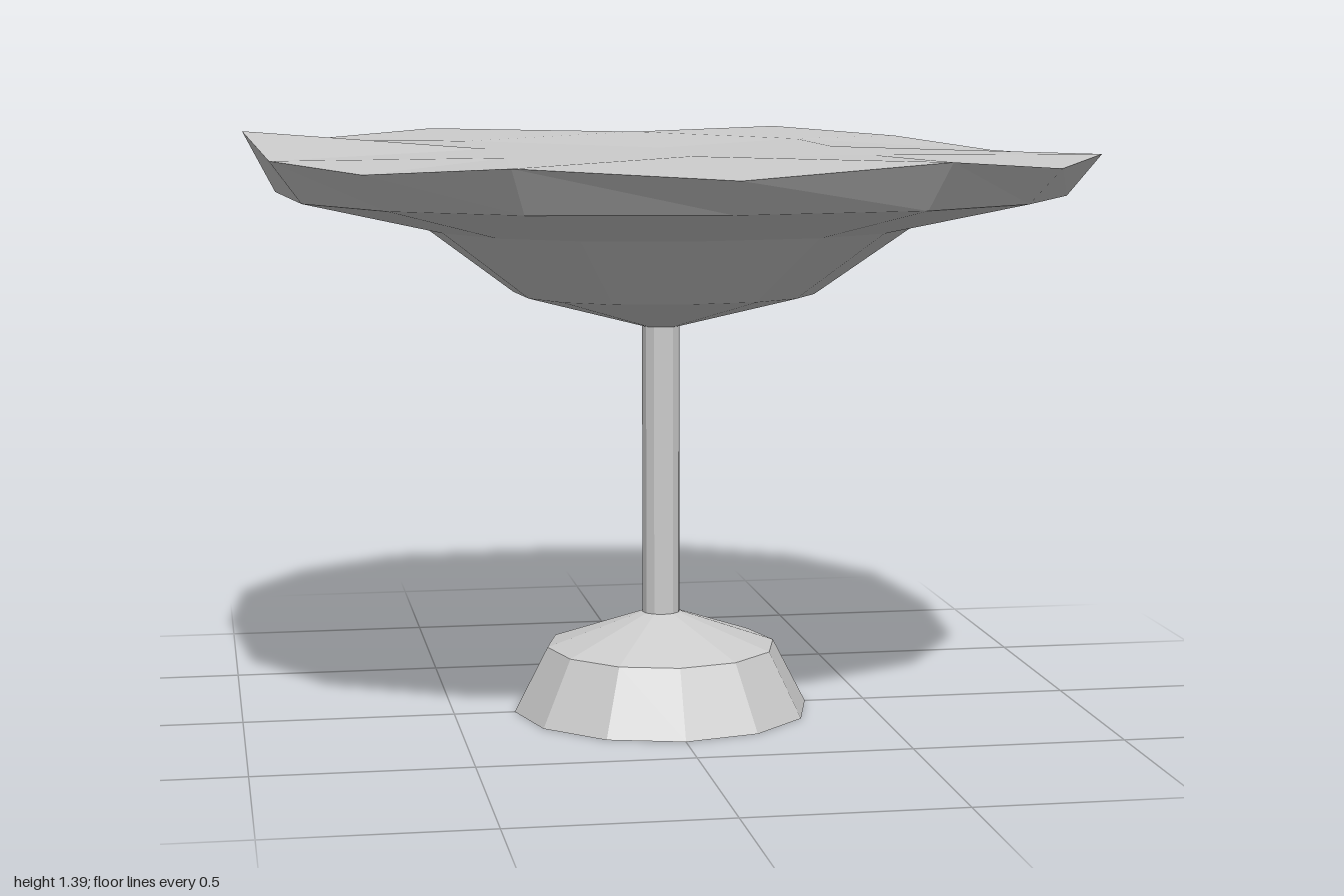
import * as THREE from 'three';

const material = new THREE.MeshStandardMaterial({ color: 0xcccccc, flatShading: true, side: THREE.DoubleSide });
material.name = 'pale grey';

// Sixteen rim points, starting at +x and turning towards +z
const rimHeights = [1.32, 1.345, 1.33, 1.355, 1.325, 1.35, 1.33, 1.345,
  1.39, 1.35, 1.34, 1.355, 1.32, 1.355, 1.335, 1.31];
const quarter = [[0.975, 0], [0.93, 0.46], [0.75, 0.75], [0.46, 0.93]];

function rimXZ(k) {
  if (k % 8 === 4) return [0, k === 4 ? 1 : -1];
  if (k % 8 === 0) return [k === 0 ? 0.975 : -0.975, 0];
  const m = k % 8;
  const [x, z] = m < 4 ? quarter[m] : [-quarter[8 - m][0], quarter[8 - m][1]];
  return k < 8 ? [x, z] : [-x, -z];
}

function mesh(name, geometry) {
  const m = new THREE.Mesh(geometry, material);
  m.name = name;
  return m;
}

function surface(positions, index) {
  const g = new THREE.BufferGeometry();
  g.setAttribute('position', new THREE.Float32BufferAttribute(positions, 3));
  g.setIndex(index);
  const flat = g.toNonIndexed();
  flat.computeVertexNormals();
  return flat;
}

// Slightly uneven top: a 5 x 5 grid whose border is pushed out to the rim
function topGeometry() {
  const positions = [], index = [];
  for (let j = -2; j <= 2; j++) {
    for (let i = -2; i <= 2; i++) {
      if (Math.max(Math.abs(i), Math.abs(j)) === 2) {
        const k = (Math.round(Math.atan2(j, i) / (Math.PI / 8)) + 16) % 16;
        const [x, z] = rimXZ(k);
        positions.push(x, rimHeights[k], z);
      } else {
        const y = i === 0 && j === -1 ? 1.365 : 1.345;
        positions.push(0.41 * i, y, 0.41 * j);
      }
    }
  }
  for (let j = 0; j < 4; j++) {
    for (let i = 0; i < 4; i++) {
      const a = j * 5 + i, b = a + 1, c = a + 5, d = a + 6;
      // Diagonals run outwards to the four corners
      if ((i < 2) === (j < 2)) index.push(a, c, d, a, d, b);
      else index.push(a, c, b, b, c, d);
    }
  }
  return surface(positions, index);
}

// Underside: the rim outline shrinking through four lower rings
function undersideGeometry() {
  const rings = [[1, 0], [0.925, 1.25], [0.58, 1.17], [0.36, 1.01], [0.045, 0.925]];
  const positions = [], index = [];
  rings.forEach(([scale, y], r) => {
    for (let k = 0; k < 16; k++) {
      const [x, z] = rimXZ(k);
      positions.push(x * scale, r === 0 ? rimHeights[k] : y, z * scale);
      if (r > 0) {
        const next = (k + 1) % 16;
        const u0 = (r - 1) * 16 + k, u1 = (r - 1) * 16 + next;
        const l0 = r * 16 + k, l1 = r * 16 + next;
        index.push(l0, u0, u1, l0, u1, l1);
      }
    }
  });
  return surface(positions, index);
}

export function createModel() {
  const group = new THREE.Group();
  group.name = 'pedestalTable';

  const tabletop = new THREE.Group();
  tabletop.name = 'tabletop';
  tabletop.add(mesh('topSurface', topGeometry()), mesh('underside', undersideGeometry()));

  // Open tube between foot and tabletop
  const post = mesh('post', new THREE.CylinderGeometry(0.045, 0.045, 0.69, 12, 1, true));
  post.position.y = 0.58;

  // Hollow foot, open underneath
  const profile = [[0.355, 0], [0.275, 0.155], [0.045, 0.235]].map(([x, y]) => new THREE.Vector2(x, y));
  const foot = mesh('foot', new THREE.LatheGeometry(profile, 12));

  group.add(tabletop, post, foot);
  return group;
}
